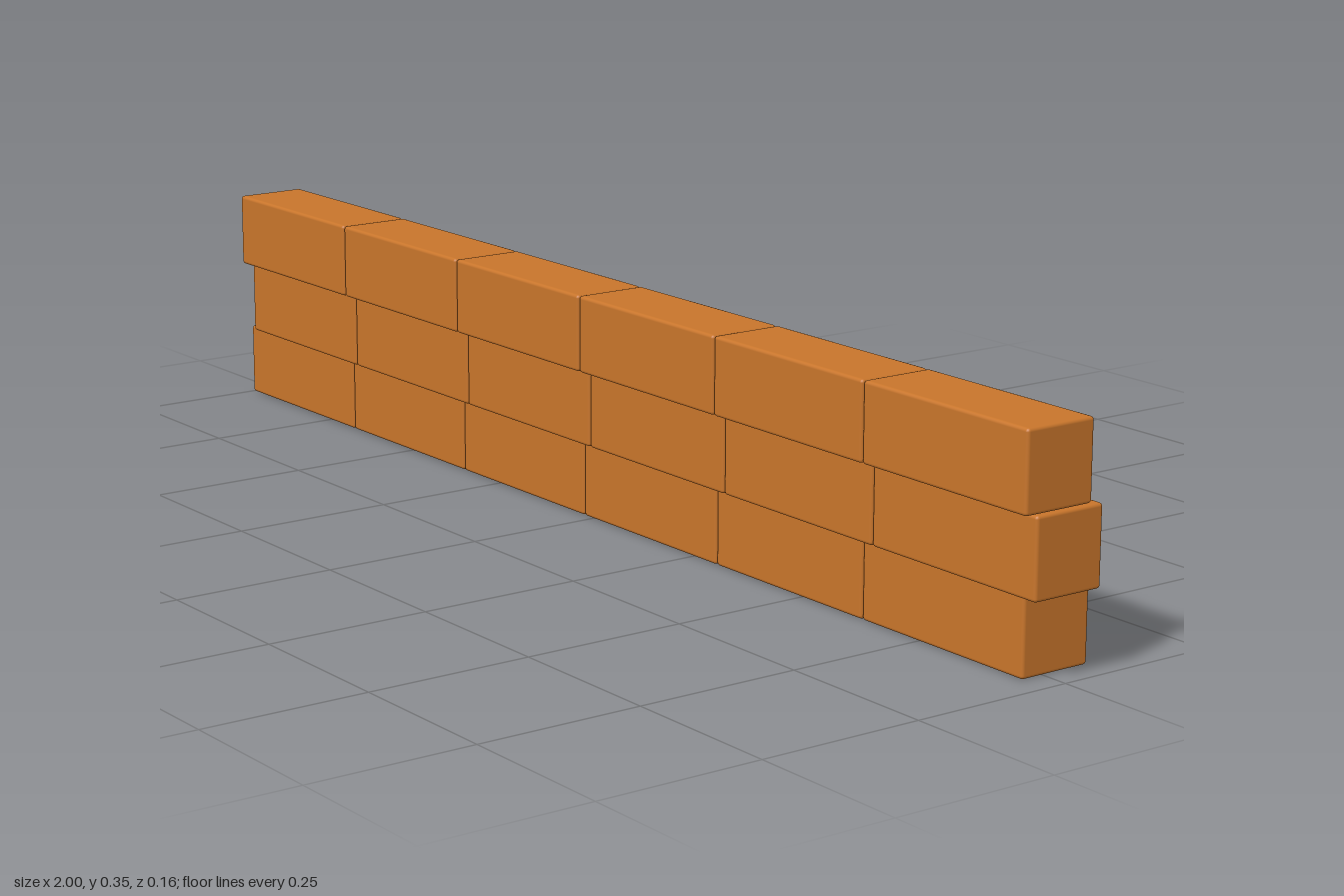
import * as THREE from 'three';
import { RoundedBoxGeometry } from 'three/addons/geometries/RoundedBoxGeometry.js';

const BRICK = { length: 0.325, height: 0.116, depth: 0.115, edge: 0.005 };
const PITCH = 0.3266;
const COUNT = 6;

export function createModel() {
  const model = new THREE.Group();
  model.name = 'brickWall';

  const clay = new THREE.MeshStandardMaterial({ color: 0xc8752b });
  clay.name = 'orange clay';

  // One softly bevelled brick shared by every course
  const brickGeometry = new RoundedBoxGeometry(BRICK.length, BRICK.height, BRICK.depth, 2, BRICK.edge);

  // Courses step forward going up; the lowest is shifted sideways
  const courses = [
    { name: 'bottomCourse', left: -1, y: 0.059, z: -0.02 },
    { name: 'middleCourse', left: -0.958, y: 0.177, z: 0 },
    { name: 'topCourse', left: -0.958, y: 0.295, z: 0.02 },
  ];

  for (const { name, left, y, z } of courses) {
    const course = new THREE.Group();
    course.name = name;
    course.position.set(left + BRICK.length / 2, y, z);
    for (let i = 0; i < COUNT; i++) {
      const brick = new THREE.Mesh(brickGeometry, clay);
      brick.name = `brick${i + 1}`;
      brick.position.x = i * PITCH;
      course.add(brick);
    }
    model.add(course);
  }
  return model;
}
